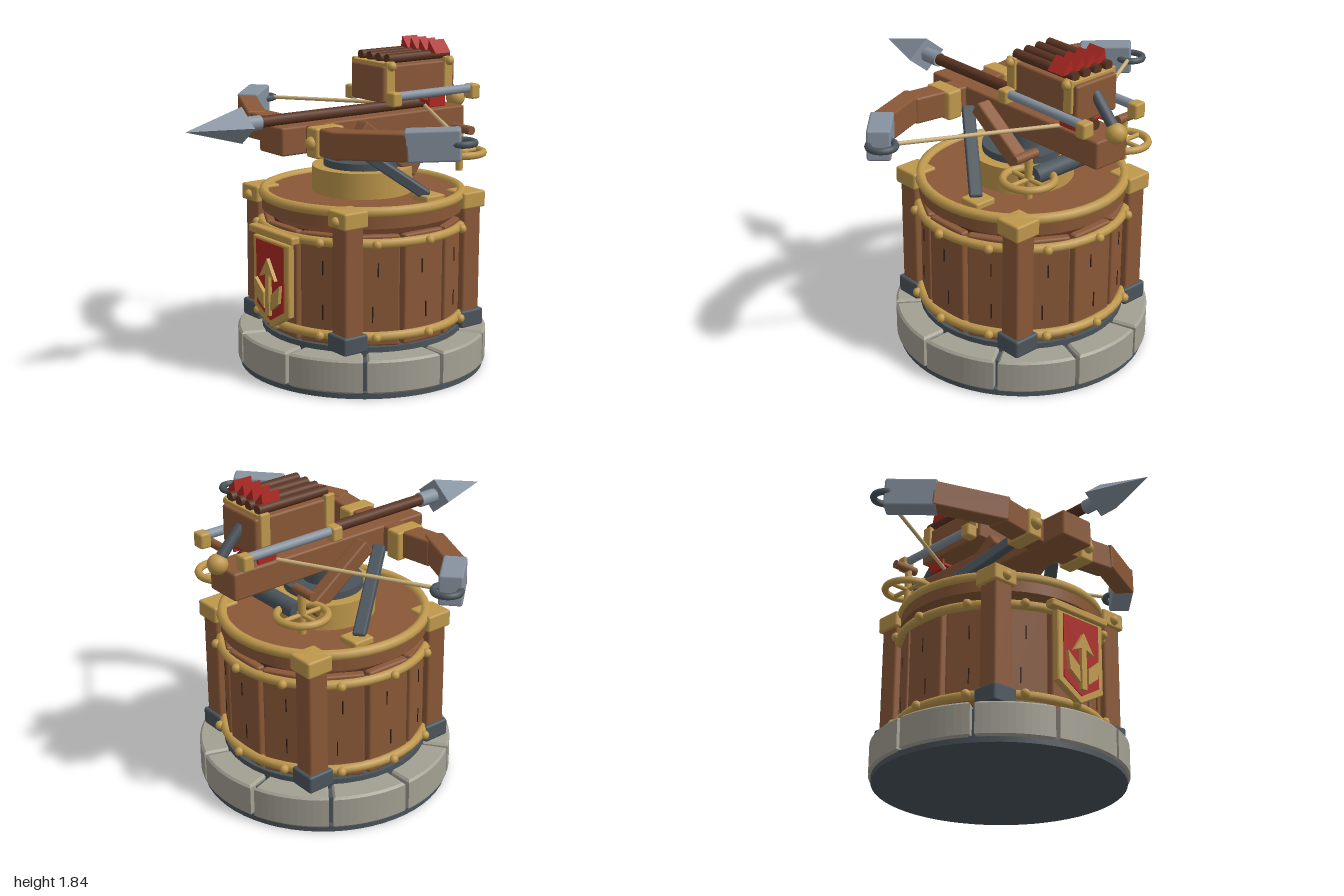
import * as THREE from 'three';
import { RoundedBoxGeometry } from 'three/addons/geometries/RoundedBoxGeometry.js';

const material = (name, color) => {
  const m = new THREE.MeshStandardMaterial({ color });
  m.name = name;
  return m;
};

export function createModel() {
  const wood = material('wood', 0x8a5837);
  const darkWood = material('dark wood', 0x5a3321);
  const gold = material('brass', 0xbf984c);
  const stone = material('stone', 0xa3a093);
  const iron = material('iron', 0x4b555c);
  const steel = material('steel', 0x8793a0);
  const red = material('red', 0xac2822);
  const rope = material('rope', 0xcdb27c);
  const grain = material('grain', 0x2e1c14);

  const model = new THREE.Group();
  const CZ = -0.205; // centre of the round tower
  const tower = new THREE.Group();
  tower.name = 'tower';
  tower.position.z = CZ;
  const weapon = new THREE.Group();
  weapon.name = 'weapon';
  model.add(tower, weapon);

  const V = (x, y, z) => new THREE.Vector3(x, y, z);
  const add = (parent, name, geo, mat, x = 0, y = 0, z = 0) => {
    const m = new THREE.Mesh(geo, mat);
    m.name = name;
    m.position.set(x, y, z);
    parent.add(m);
    return m;
  };
  const box = (parent, name, mat, w, h, d, x, y, z) =>
    add(parent, name, new RoundedBoxGeometry(w, h, d, 1, Math.min(0.012, w / 4, h / 4, d / 4)), mat, x, y, z);
  const disc = (parent, name, mat, r, y0, y1, seg = 40) =>
    add(parent, name, new THREE.CylinderGeometry(r, r, y1 - y0, seg), mat, 0, (y0 + y1) / 2, 0);
  const ball = (parent, name, r, x, y, z) =>
    add(parent, name, new THREE.SphereGeometry(r, 14, 10), gold, x, y, z);
  const hoop = (parent, name, mat, R, t, x, y, z) => {
    const m = add(parent, name, new THREE.TorusGeometry(R, t, 8, 48), mat, x, y, z);
    m.rotation.x = Math.PI / 2;
    return m;
  };
  // Box or rod running from a to b
  const beam = (name, mat, a, b, w, h) => {
    const m = box(weapon, name, mat, w, h, a.distanceTo(b), 0, 0, 0);
    m.position.copy(a).lerp(b, 0.5);
    m.lookAt(b);
    return m;
  };
  const rod = (name, mat, a, b, r) => {
    const geo = new THREE.CylinderGeometry(r, r, a.distanceTo(b), 14).rotateX(Math.PI / 2);
    const m = add(weapon, name, geo, mat);
    m.position.copy(a).lerp(b, 0.5);
    m.lookAt(b);
    return m;
  };
  const polygon = (pts) => new THREE.Shape(pts.map(([x, y]) => new THREE.Vector2(x, y)));
  const slab = (pts, depth, bevel = 0) => new THREE.ExtrudeGeometry(polygon(pts), {
    depth, bevelEnabled: bevel > 0, bevelSize: bevel, bevelThickness: bevel, bevelOffset: -bevel, bevelSegments: 1,
  });

  // Stone footing
  disc(tower, 'footing', iron, 0.7, 0, 0.035, 60);
  disc(tower, 'footingCore', iron, 0.665, 0.03, 0.195, 60);
  disc(tower, 'footingCollar', iron, 0.575, 0.19, 0.25);
  const half = Math.PI / 10 - 0.017;
  const sector = new THREE.Shape();
  sector.absarc(0, 0, 0.715, -half, half, false);
  sector.absarc(0, 0, 0.54, half, -half, true);
  const stoneGeo = new THREE.ExtrudeGeometry(sector, {
    depth: 0.166, bevelSize: 0.012, bevelThickness: 0.012, bevelOffset: -0.012, bevelSegments: 1, curveSegments: 5,
  }).rotateX(-Math.PI / 2);
  for (let i = 0; i < 10; i++) {
    add(tower, 'footingStone', stoneGeo, stone, 0, 0.042, 0).rotation.y = Math.PI / 2 + i * Math.PI / 5;
  }

  // Plank barrel with hoops and studs
  disc(tower, 'barrelCore', darkWood, 0.505, 0.24, 0.865, 36);
  for (let i = 0; i < 12; i++) {
    const side = new THREE.Group();
    side.name = 'plankSide';
    side.rotation.y = i * Math.PI / 6;
    tower.add(side);
    box(side, 'plank', wood, 0.268, 0.62, 0.05, 0, 0.56, 0.53);
    box(side, 'woodGrain', grain, 0.007, 0.08, 0.008, 0.015 * ((i % 3) - 1), 0.68, 0.555);
    box(side, 'woodGrain', grain, 0.007, 0.09, 0.008, -0.015 * ((i % 3) - 1), 0.43, 0.555);
    for (const y of [0.31, 0.83]) ball(side, 'hoopStud', 0.026, 0, y, 0.6);
  }
  for (const y of [0.31, 0.83]) hoop(tower, 'barrelHoop', gold, 0.572, 0.027, 0, y, 0);

  // Corner posts
  for (const sx of [-1, 1]) for (const sz of [-1, 1]) {
    const x = sx * 0.415, z = sz * 0.415;
    box(tower, 'post', wood, 0.123, 0.7, 0.123, x, 0.6, z);
    box(tower, 'postFoot', iron, 0.16, 0.1, 0.16, x, 0.283, z);
    box(tower, 'postCap', gold, 0.16, 0.095, 0.16, x, 0.973, z);
    if (sz > 0) ball(tower, 'postStud', 0.028, x, 0.965, z + 0.08);
  }

  // Deck and turntable
  disc(tower, 'deck', wood, 0.57, 0.91, 1.005, 48);
  hoop(tower, 'deckRim', gold, 0.56, 0.03, 0, 1.0, 0);
  disc(tower, 'pedestal', gold, 0.285, 1.0, 1.15);
  disc(tower, 'turntable', iron, 0.22, 1.15, 1.19);
  disc(tower, 'neck', iron, 0.11, 1.19, 1.3, 24);

  // Shield on the front
  const frame = [[-0.17, 0.8], [-0.17, 0.395], [0, 0.3], [0.17, 0.395], [0.17, 0.8]].reverse();
  const field = [[-0.132, 0.785], [-0.132, 0.42], [0, 0.343], [0.132, 0.42], [0.132, 0.785]].reverse();
  add(model, 'shieldFrame', slab(frame, 0.03, 0.006), gold, 0, 0, 0.393);
  add(model, 'shieldField', slab(field, 0.006), red, 0, 0, 0.428);
  box(model, 'shieldBar', gold, 0.42, 0.045, 0.06, 0, 0.833, 0.405);
  const arrow = [[-0.018, 0.375], [0.018, 0.375], [0.018, 0.61], [0.075, 0.585], [0, 0.7], [-0.075, 0.585], [-0.018, 0.61]];
  add(model, 'shieldArrow', slab(arrow, 0.022), gold, 0, 0, 0.433);
  for (const s of [-1, 1]) {
    const wing = [[s * 0.12, 0.57], [s * 0.105, 0.465], [s * 0.03, 0.41], [s * 0.035, 0.5]];
    add(model, 'shieldWing', slab(wing, 0.022), gold, 0, 0, 0.433);
  }

  // Stock and large bolt
  box(weapon, 'stock', wood, 0.22, 0.155, 1.29, 0, 1.358, -0.225);
  rod('boltShaft', darkWood, V(0, 1.462, -0.75), V(0, 1.462, 0.5), 0.032);
  rod('boltCollar', steel, V(0, 1.46, 0.49), V(0, 1.46, 0.61), 0.041);
  const head = new THREE.ConeGeometry(1, 0.35, 4).toNonIndexed().rotateX(Math.PI / 2).scale(0.125, 0.1, 1);
  head.computeVertexNormals();
  add(weapon, 'boltHead', head, steel, 0, 1.457, 0.777);
  box(weapon, 'boltFin', red, 0.2, 0.02, 0.12, 0, 1.48, -0.66);
  box(weapon, 'boltFin', red, 0.02, 0.08, 0.12, 0, 1.485, -0.66);
  for (const s of [-1, 1]) box(weapon, 'boltFinSide', red, 0.016, 0.07, 0.12, s * 0.105, 1.482, -0.66);

  // Magazine with small bolts on top
  box(weapon, 'magazine', wood, 0.29, 0.205, 0.52, 0, 1.612, -0.495);
  for (const z of [-0.28, -0.7]) {
    for (const s of [-1, 1]) box(weapon, 'magazineStrap', gold, 0.025, 0.18, 0.06, s * 0.148, 1.65, z);
    box(weapon, 'magazineBand', gold, 0.3, 0.022, 0.06, 0, 1.722, z);
    ball(weapon, 'magazineStud', 0.027, 0.165, 1.715, z);
  }
  const fin = [[-0.01, 0], [0.065, 0.005], [0.002, 0.075]];
  for (let i = 0; i < 4; i++) {
    const x = -0.117 + i * 0.079;
    rod('smallBolt', darkWood, V(x, 1.752, -0.72), V(x, 1.752, -0.28), 0.027);
    add(weapon, 'smallBoltFin', slab(fin, 0.11), red, x, 1.76, -0.69);
  }
  rod('lever', iron, V(0, 1.64, -0.74), V(0, 1.48, -0.89), 0.03);
  ball(weapon, 'leverKnob', 0.056, 0, 1.465, -0.895);

  // Winch drum
  rod('winchDrum', iron, V(-0.32, 1.235, -0.63), V(0.32, 1.235, -0.63), 0.048);

  for (const s of [-1, 1]) {
    // Guide rods beside the magazine
    rod('guideRod', steel, V(s * 0.188, 1.548, -0.84), V(s * 0.188, 1.548, -0.29), 0.025);
    box(weapon, 'guideBlock', gold, 0.075, 0.08, 0.065, s * 0.188, 1.535, -0.28);
    box(weapon, 'guideBlock', gold, 0.075, 0.085, 0.065, s * 0.188, 1.53, -0.855);

    // Braces and struts down to the deck
    beam('brace', wood, V(s * 0.17, 1.12, -0.44), V(s * 0.17, 1.4, -0.05), 0.085, 0.09);
    beam('strut', iron, V(s * 0.44, 1.03, -0.32), V(s * 0.16, 1.35, 0.06), 0.07, 0.06);
    box(weapon, 'strutFoot', gold, 0.13, 0.04, 0.13, s * 0.435, 1.02, -0.33);

    // Bow limbs, clamps and tip rings
    beam('limbInner', wood, V(s * 0.03, 1.357, 0.19), V(s * 0.43, 1.368, 0.23), 0.13, 0.15);
    beam('limbMiddle', wood, V(s * 0.38, 1.372, 0.255), V(s * 0.77, 1.4, 0.065), 0.11, 0.15);
    beam('limbTip', steel, V(s * 0.73, 1.402, 0.085), V(s * 0.925, 1.417, -0.13), 0.125, 0.165);
    box(weapon, 'limbClamp', gold, 0.096, 0.165, 0.185, s * 0.205, 1.358, 0.205);
    ball(weapon, 'clampStud', 0.038, s * 0.205, 1.355, 0.295);
    hoop(weapon, 'tipRing', iron, 0.07, 0.019, s * 0.911, 1.42, -0.14);
    rod('bowstring', rope, V(s * 0.86, 1.425, -0.17), V(0, 1.445, -0.655), 0.011);

    // Hand wheels
    const wx = s * 0.35;
    hoop(weapon, 'handWheel', gold, 0.133, 0.021, wx, 1.225, -0.625);
    rod('wheelSpoke', gold, V(wx, 1.225, -0.755), V(wx, 1.225, -0.495), 0.013);
    rod('wheelSpoke', gold, V(wx - 0.13, 1.225, -0.625), V(wx + 0.13, 1.225, -0.625), 0.013);
    rod('wheelSpindle', gold, V(wx, 1.12, -0.625), V(wx, 1.36, -0.6249), 0.021);
    rod('wheelHandle', wood, V(s * 0.3, 1.36, -0.625), V(s * 0.45, 1.36, -0.625), 0.025);
  }

  return model;
}
